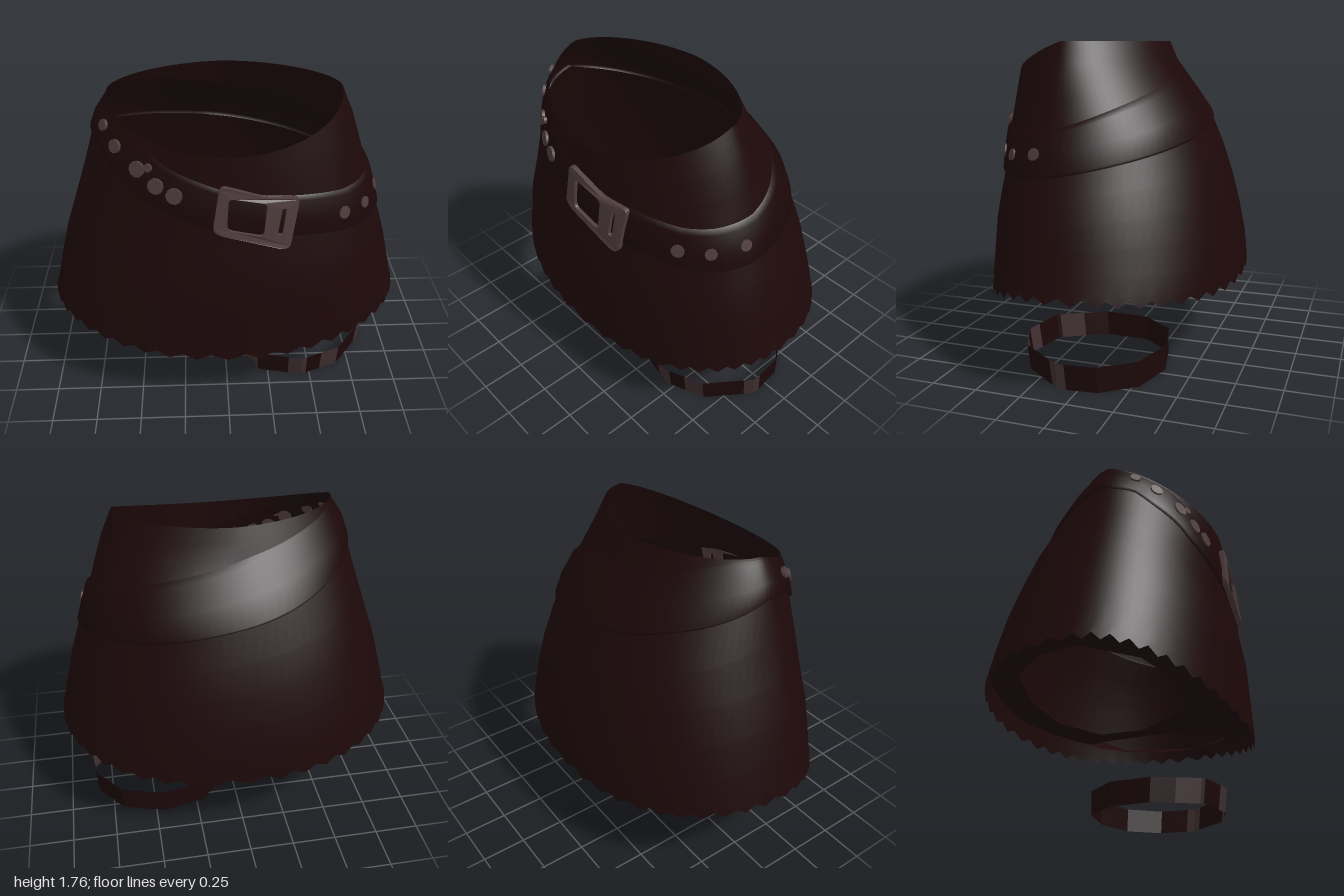
import * as THREE from 'three';

const mat = (name, color, side = THREE.FrontSide) => {
  const m = new THREE.MeshStandardMaterial({ color, side });
  m.name = name;
  return m;
};

// Piecewise linear lookup: table of [key, value]
function lookup(table, k) {
  for (let i = 1; i < table.length; i++) {
    const [k0, v0] = table[i - 1], [k1, v1] = table[i];
    if (k <= k1) return v0 + (v1 - v0) * Math.max(0, (k - k0) / (k1 - k0));
  }
  return table[table.length - 1][1];
}

// Skirt outline by height: half width, front z, back z, roundness
const HALF = [[0.35, 1.02], [0.52, 0.998], [0.9, 0.905], [1.12, 0.83], [1.33, 0.76], [1.58, 0.685], [1.76, 0.605]];
const FRONT = [[0.35, 0.68], [0.85, 0.67], [1.1, 0.63], [1.57, 0.6], [1.76, 0.58]];
const BACK = [[0.35, -0.685], [0.64, -0.66], [0.9, -0.61], [1.12, -0.545], [1.33, -0.465], [1.6, -0.275], [1.76, -0.21]];
const POWER = [[0.35, 0.89], [1.33, 0.96], [1.76, 1.15]];
// Belt centre height by angle in degrees, 0 = front, 90 = +x
const BELT = [[0, 1.275], [20, 1.235], [50, 1.19], [64, 1.19], [90, 1.21], [120, 1.28], [160, 1.37], [200, 1.47],
  [235, 1.57], [270, 1.675], [294, 1.64], [306, 1.56], [321, 1.48], [330, 1.41], [338, 1.37], [360, 1.275]];

const bend = (s, q) => Math.sign(s) * Math.abs(s) ** q;

// Point on the skirt at angle a and height y, pushed outward by off
function surf(a, y, off = 0) {
  const s = Math.sin(a), c = Math.cos(a), q = lookup(POWER, y);
  const mid = lookup([[0.35, 0.1], [1.76, 0.16]], y);
  const depth = c > 0 ? lookup(FRONT, y) - mid : mid - lookup(BACK, y);
  return new THREE.Vector3(lookup(HALF, y) * bend(s, q) + off * s, y, mid + depth * bend(c, q) + off * c);
}

// Angle on the front half for a given x
const angleAt = (x, y) => {
  const r = Math.min(1, Math.abs(x) / (lookup(HALF, y) + 0.02));
  return Math.sign(x) * Math.asin(r ** (1 / lookup(POWER, y)));
};

const rimY = (a) => 1.757 - 0.185 * Math.max(0, Math.cos(a)) ** 1.3;
const hemY = (a) => {
  const c = Math.cos(a);
  return 0.52 - (c > 0 ? 0.145 : 0.065) * Math.abs(c) ** 2.2;
};
const beltY = (a) => lookup(BELT, (((a * 180) / Math.PI) % 360 + 360) % 360);
const beltLow = (a) => beltY(a) - 0.115;
const beltHigh = (a) => Math.min(beltY(a) + 0.115 + 0.06 * Math.max(0, -Math.cos(a)), rimY(a) - 0.01);

// Closed rings of points joined into a smooth surface
const SIDES = 88;
function ringSurface(rows, point) {
  const pos = [], idx = [], n = SIDES;
  rows.forEach((row) => {
    for (let i = 0; i < n; i++) pos.push(...point((i / n) * Math.PI * 2, row, i).toArray());
  });
  for (let j = 0; j < rows.length - 1; j++)
    for (let i = 0; i < n; i++) {
      const k = (i + 1) % n, a = j * n + i, b = j * n + k, c = b + n, d = a + n;
      idx.push(a, b, c, a, c, d);
    }
  const g = new THREE.BufferGeometry();
  g.setAttribute('position', new THREE.Float32BufferAttribute(pos, 3));
  g.setIndex(idx);
  g.computeVertexNormals();
  return g;
}

// Thigh outline [x, z, metal flag for the side that starts here]
const THIGH = [[0.05, 0.13, 0], [0.12, 0.256, 1], [0.19, 0.382, 0], [0.2, 0.4, 0], [0.37, 0.435, 1], [0.45, 0.45, 1],
  [0.48, 0.44, 0], [0.57, 0.405, 1], [0.68, 0.36, 0], [0.825, 0.165, 1], [0.86, 0.12, 1], [0.86, 0.07, 0],
  [0.84, -0.1, 0], [0.7, -0.28, 0], [0.45, -0.352, 0], [0.2, -0.3, 0], [0.06, -0.12, 0]];

// Upright strips of the leg band whose flag matches
function bandStrips(flag) {
  const pos = [];
  const at = ([x, z], top) => (top ? [x, 0.14, z] : [0.45 + (x - 0.45) * 0.98, 0, -0.35 + (z + 0.35) * 0.975]);
  THIGH.forEach((p, i) => {
    if (p[2] !== flag) return;
    const q = THIGH[(i + 1) % THIGH.length];
    pos.push(...at(p, 0), ...at(q, 0), ...at(q, 1), ...at(p, 0), ...at(q, 1), ...at(p, 1));
  });
  const g = new THREE.BufferGeometry();
  g.setAttribute('position', new THREE.Float32BufferAttribute(pos, 3));
  g.computeVertexNormals();
  return g;
}

export function createModel() {
  const model = new THREE.Group();
  const cloth = mat('dark red cloth', 0x1d0809, THREE.DoubleSide);
  const leather = mat('dark leather', 0x1b0708, THREE.DoubleSide);
  const metal = mat('dull metal', 0x4e3b3c);
  const bandMetal = mat('dark metal', 0x3e2e2f, THREE.DoubleSide);
  const add = (name, geo, material, parent = model) => {
    const m = new THREE.Mesh(geo, material);
    m.name = name;
    parent.add(m);
    return m;
  };

  // Flared skirt below the belt, with a zigzag hem
  add('skirt', ringSurface([0, 0.06, 0.2, 0.4, 0.6, 0.8, 1], (a, t, i) => {
    const p = surf(a, THREE.MathUtils.lerp(hemY(a), beltLow(a), t));
    if (t === 0) p.y += i % 2 ? 0.018 : -0.018;
    return p;
  }), cloth);

  // Slanted belt: [height fraction, offset, extra offset toward +x]
  add('belt', ringSurface([[0, 0, 0], [0.06, 0.017, 0], [0.45, 0.02, 0], [0.9, 0.012, 0.01], [1, 0, 0]],
    (a, [t, off, extra]) =>
      surf(a, THREE.MathUtils.lerp(beltLow(a), beltHigh(a), t), off + extra * Math.sin(a))), leather);

  // Waist above the belt
  add('waist', ringSurface([0, 0.33, 0.67, 1], (a, t) =>
    surf(a, THREE.MathUtils.lerp(beltHigh(a), rimY(a), t))), cloth);

  // Belt studs [x, y, radius], set through the leather
  const studs = new THREE.Group();
  studs.name = 'beltStuds';
  model.add(studs);
  const up = new THREE.Vector3(0, 1, 0);
  for (const [x, y, r] of [[-0.62, 1.63, 0.03], [-0.56, 1.56, 0.036], [-0.45, 1.48, 0.042], [-0.395, 1.497, 0.022],
    [-0.36, 1.41, 0.042], [-0.27, 1.37, 0.043], [0.605, 1.19, 0.035], [0.73, 1.187, 0.032], [0.81, 1.205, 0.032]]) {
    const a = angleAt(x, y);
    const along = surf(a + 0.03, y).sub(surf(a - 0.03, y));
    const rise = surf(a, y + 0.05).sub(surf(a, y - 0.05));
    const stud = add('stud', new THREE.CylinderGeometry(r, r, 0.016, 10), metal, studs);
    stud.position.copy(surf(a, y, 0.02));
    stud.quaternion.setFromUnitVectors(up, along.cross(rise).normalize());
  }

  // Buckle: slanted frame with a window and a slot, wrapped through the belt
  const outline = (Type, pts) => {
    const s = new Type();
    pts.forEach(([x, y], i) => {
      const [nx, ny] = pts[(i + 1) % pts.length], [px, py] = pts[(i + pts.length - 1) % pts.length];
      const t = 0.14;
      const sx = x + (px - x) * t, sy = y + (py - y) * t;
      i ? s.lineTo(sx, sy) : s.moveTo(sx, sy);
      s.quadraticCurveTo(x, y, x + (nx - x) * t, y + (ny - y) * t);
    });
    s.closePath();
    return s;
  };
  const frame = outline(THREE.Shape, [[-0.085, 1.18], [0.31, 1.06], [0.355, 1.345], [0.2, 1.36], [-0.045, 1.44]]);
  frame.holes.push(
    outline(THREE.Path, [[-0.012, 1.195], [-0.002, 1.375], [0.19, 1.335], [0.175, 1.15]]),
    outline(THREE.Path, [[0.245, 1.155], [0.265, 1.3], [0.288, 1.295], [0.27, 1.15]]));
  const buckle = new THREE.ExtrudeGeometry(frame, { depth: 0.026, bevelEnabled: false, curveSegments: 4 });
  const bp = buckle.attributes.position;
  for (let i = 0; i < bp.count; i++) {
    const x = bp.getX(i), y = bp.getY(i);
    bp.setZ(i, surf(angleAt(x, y), y, 0.011).z + bp.getZ(i));
  }
  buckle.computeVertexNormals();
  add('buckle', buckle, metal);

  // Inner brief: sheet inside the skirt with two leg openings
  const sheetY = (x, z) => 0.372 + 0.05 * Math.abs(x) + 0.17 * x * x + (z > 0 ? 0.16 : 0.42) * z * z;
  const sheet = new THREE.Shape();
  for (let i = 0; i < 44; i++) {
    const a = (i / 44) * Math.PI * 2;
    const q = surf(a, 0.5);
    const p = surf(a, sheetY(q.x, q.z), -0.006);
    i ? sheet.lineTo(p.x, p.z) : sheet.moveTo(p.x, p.z);
  }
  sheet.closePath();
  for (const side of [1, -1])
    sheet.holes.push(new THREE.Path(THIGH.map(([x, z]) => new THREE.Vector2(x * side, z * 1.04))));
  const brief = new THREE.ShapeGeometry(sheet);
  const sp = brief.attributes.position;
  for (let i = 0; i < sp.count; i++) {
    const x = sp.getX(i), z = sp.getY(i);
    sp.setXYZ(i, x, sheetY(x, z), z);
  }
  brief.computeVertexNormals();
  add('innerBrief', brief, cloth);

  // Leg band with metal plates
  const band = new THREE.Group();
  band.name = 'legBand';
  model.add(band);
  add('bandStrap', bandStrips(0), leather, band);
  add('bandPlates', bandStrips(1), bandMetal, band);

  return model;
}
